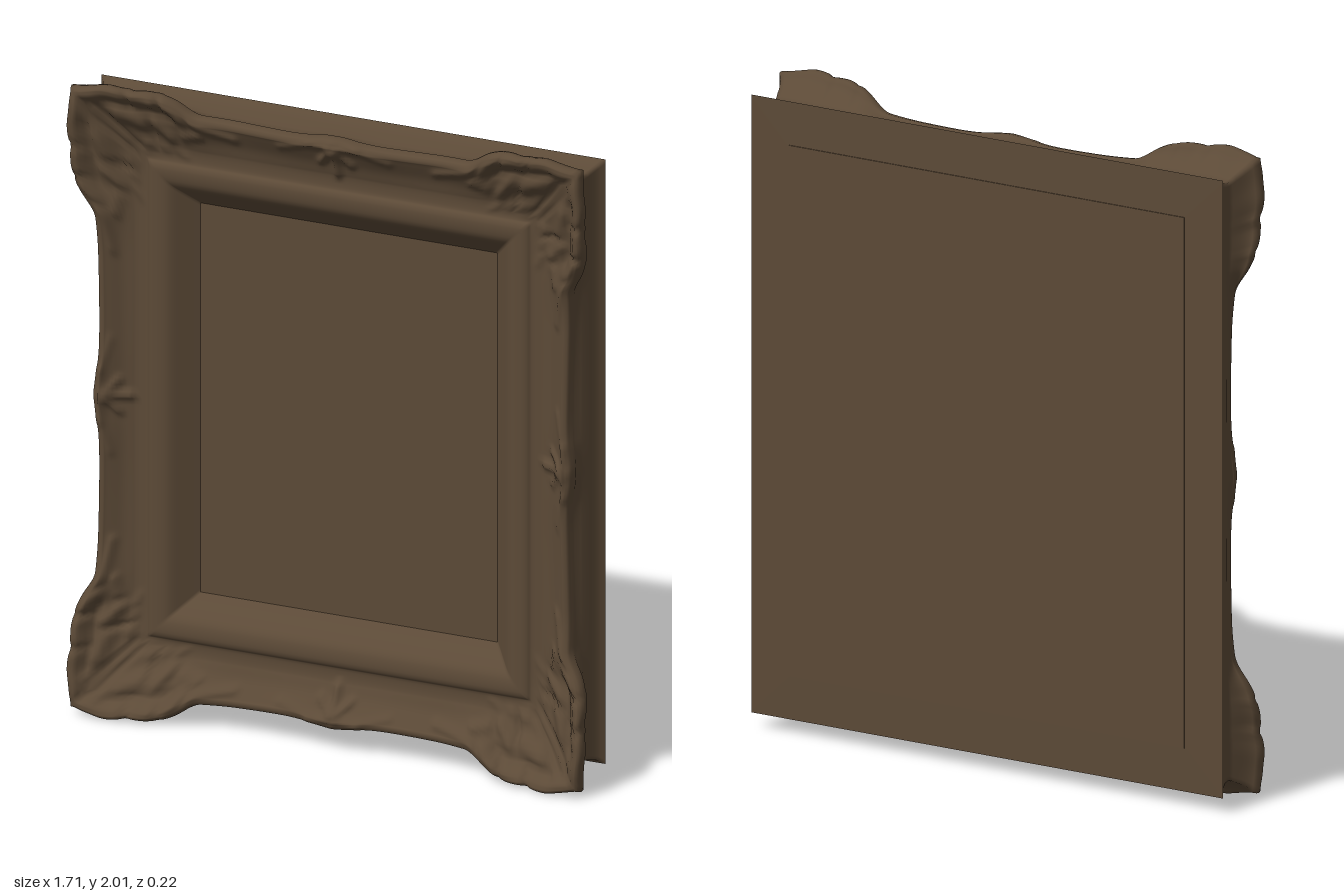
import * as THREE from 'three';

const CENTER_Y = 1.005, HX = 0.49, HY = 0.615, WIDTH = 0.345;
const STEPS = 150; // segments along each side

// Moulding section: outward offset, height, how far it follows the carved edge
const FRONT = [
  [0, -0.082, 0], [0.02, -0.062, 0], [0.045, -0.036, 0], [0.068, -0.014, 0], [0.088, -0.004, 0], [0.12, -0.001, 0],
  [0.136, -0.006, 0], [0.146, -0.014, 0], [0.172, -0.016, 0], [0.2, -0.011, 0.15], [0.23, -0.002, 0.4],
  [0.26, 0.013, 0.7], [0.285, 0.026, 0.9], [0.3, 0.031, 1], [0.31, 0.026, 1], [0.315, 0.012, 1],
  [0.312, -0.002, 0.7], [0.31, -0.02, 0.3], [0.316, -0.05, 0], [0.33, -0.09, 0], [0.345, -0.11, 0],
];
// Flat border behind the outer rim
const BACK = [[0.345, -0.11, 0], [0.2, -0.112, 0]];

// Carved ridges: c1, b1, c2, b2, width, height (c from the corner, b in from the outer edge)
const CORNER_LEAVES = [
  [0.09, 0.09, 0.22, 0.21, 0.028, 0.020],
  [0.07, 0.045, 0.15, 0.04, 0.020, 0.016],
  [0.20, 0.04, 0.25, 0.05, 0.018, 0.018],
  [0.29, 0.05, 0.33, 0.07, 0.018, 0.016],
  [0.15, 0.095, 0.21, 0.11, 0.015, 0.018],
  [0.25, 0.105, 0.29, 0.13, 0.015, 0.018],
  [0.33, 0.12, 0.38, 0.10, 0.013, 0.014],
  [0.21, 0.155, 0.27, 0.165, 0.013, 0.014],
  [0.30, 0.165, 0.33, 0.18, 0.012, 0.012],
  [0.37, 0.06, 0.50, 0.085, 0.014, 0.010],
  [0.12, 0.072, 0.30, 0.085, 0.007, -0.014],
  [0.09, 0.075, 0.19, 0.17, 0.007, -0.014],
  [0.23, 0.12, 0.24, 0.16, 0.007, -0.012],
  [0.175, 0.03, 0.18, 0.07, 0.008, -0.010],
  [0.27, 0.03, 0.27, 0.07, 0.008, -0.010],
];
// Flower at the middle of a side (a from the middle, b in from the outer edge)
const FLOWER = [
  [0, 0.05, 0, 0.06, 0.018, 0.014],
  [0.02, 0.06, 0.08, 0.045, 0.014, 0.012],
  [0.015, 0.08, 0.05, 0.11, 0.012, 0.014],
  [0, 0.08, 0, 0.15, 0.012, 0.018],
  [0.08, 0.05, 0.18, 0.075, 0.012, 0.006],
];

const smooth = (from, to, v) => {
  const t = Math.min(1, Math.max(0, (v - from) / (to - from)));
  return t * t * (3 - 2 * t);
};

// Sum of soft ridges that follow short line segments
function relief(u, v, ridges) {
  let sum = 0;
  for (const [u1, v1, u2, v2, width, height] of ridges) {
    const du = u2 - u1, dv = v2 - v1;
    const t = Math.min(1, Math.max(0, ((u - u1) * du + (v - v1) * dv) / (du * du + dv * dv)));
    const r = Math.hypot(u - u1 - t * du, v - v1 - t * dv) / width;
    sum += height * Math.exp(-r * r);
  }
  return sum;
}

// Sweep a section round the rectangle with mitred corners
function sweep(section, cuts, carved) {
  const curve = new THREE.CatmullRomCurve3(section.map((p) => new THREE.Vector3(...p)));
  const points = curve.getPoints(cuts);
  const position = [], index = [];
  const loop = STEPS * 4, row = cuts + 1;
  for (let i = 0; i < loop; i++) {
    const side = Math.floor(i / STEPS);
    const s = -1 + (2 * (i % STEPS)) / STEPS;
    const upright = side % 2 === 0;
    points.forEach((p, k) => {
      const length = upright ? HY : HX;
      const a = Math.abs(s) * (length + p.x);
      const c = length + WIDTH - a;
      const w = Math.max(0, p.z);
      let d = p.x, z = p.y, flare = 0;
      if (carved) {
        // Wavy outer edge, raised at corners and at the middle of each side
        const corner = 1 - smooth(0.27, 0.4, c);
        const middle = Math.exp(-((a / 0.09) ** 2));
        const edge = (upright ? 0.288 : 0.308) + 0.012 * (a / length) ** 2 + 0.016 * middle
          + corner * (upright ? 0.053 : 0.04) + 0.0025 * corner * Math.sin(c * 60);
        const atCorner = 1 - smooth(0.03, 0.12, c);
        d += w * (THREE.MathUtils.lerp(edge, 0.355, atCorner) - 0.315);
        flare = 0.016 * w * corner;
        z += w * (0.062 * (1 - smooth(0.08, 0.52, c)) + 0.01 * Math.exp(-((a / 0.18) ** 2)));
        const mask = k / cuts < 0.62 ? smooth(0.14, 0.21, p.x) : w * 0.6;
        const b = WIDTH - p.x;
        z += mask * (relief(c, b, CORNER_LEAVES) + relief(a, b, FLOWER));
      }
      const along = s * (length + p.x), out = (upright ? HX : HY) + d;
      let x, y;
      if (side === 0) [x, y] = [out, along];
      else if (side === 1) [x, y] = [-along, out];
      else if (side === 2) [x, y] = [-out, -along];
      else [x, y] = [along, -out];
      // Keep the mitre line shared by both neighbouring sides
      const nearMitre = Math.abs(s) ** 12 * (d - p.x);
      if (upright) y += Math.sign(y) * nearMitre;
      else x += Math.sign(x) * nearMitre;
      y += Math.sign(y) * flare * (upright ? Math.abs(s) ** 4 : 1);
      position.push(x, y + CENTER_Y, z);
    });
    for (let k = 0; k < cuts; k++) {
      const p = i * row + k, q = ((i + 1) % loop) * row + k;
      index.push(p, p + 1, q, p + 1, q + 1, q);
    }
  }
  const geometry = new THREE.BufferGeometry();
  geometry.setAttribute('position', new THREE.Float32BufferAttribute(position, 3));
  geometry.setIndex(index);
  geometry.computeVertexNormals();
  return geometry;
}

export function createModel() {
  const group = new THREE.Group();
  group.name = 'pictureFrame';
  const wood = new THREE.MeshStandardMaterial({ color: 0x5c4a37, side: THREE.DoubleSide });
  wood.name = 'dark brown wood';

  const add = (name, geometry, z = 0) => {
    const mesh = new THREE.Mesh(geometry, wood);
    mesh.name = name;
    mesh.position.z = z;
    group.add(mesh);
  };

  add('carvedMoulding', sweep(FRONT, 60, true));
  add('backBorder', sweep(BACK, 1, false));
  // Picture surface and backing board
  add('picturePanel', new THREE.BoxGeometry(0.985, 1.24, 0.016).translate(0, CENTER_Y, 0), -0.087);
  add('backingBoard', new THREE.BoxGeometry(1.4, 1.65, 0.02).translate(0, CENTER_Y, 0), -0.105);
  return group;
}
